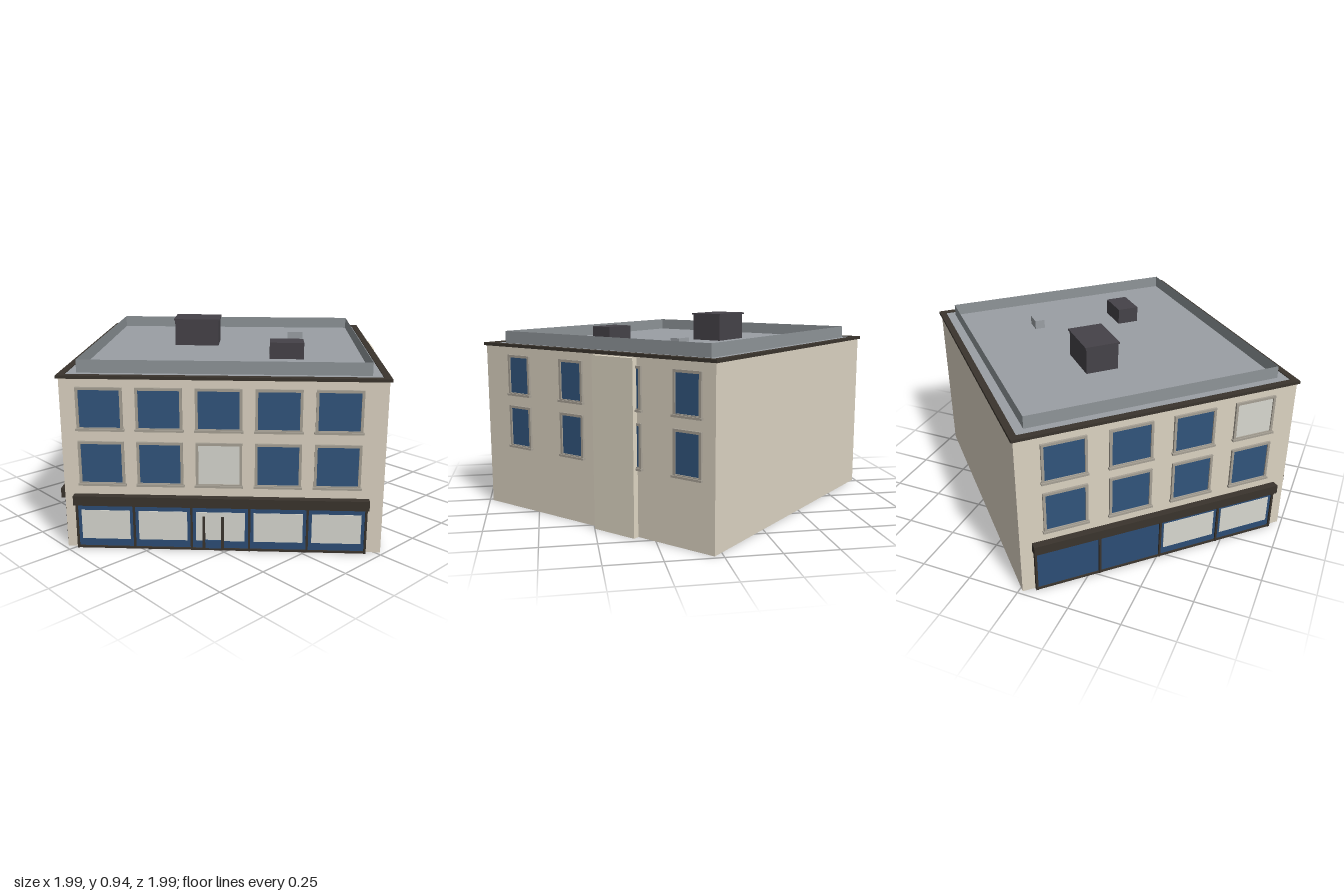
import * as THREE from 'three';

const mat = (color, side = THREE.FrontSide) => new THREE.MeshStandardMaterial({ color, side });
const M = {
  wall: mat(0xdcd3c2), pilaster: mat(0xe0d8c4), trim: mat(0xa8a296), glass: mat(0x31547c),
  blind: mat(0xd8d8d0), shop: mat(0x2c4d76), dark: mat(0x3a342d), roof: mat(0x9a9fa4),
  parapet: mat(0x8e9498, THREE.DoubleSide), unit: mat(0x454248), vent: mat(0x9a9fa4),
};

// half width, half depth and height of the walls
const W = 0.715, D = 0.675, H = 0.8;

function box(parent, name, material, w, h, d, x, y, z) {
  const m = new THREE.Mesh(new THREE.BoxGeometry(w, h, d), material);
  m.name = name;
  m.position.set(x, y, z);
  parent.add(m);
  return m;
}

function rect(target, w, h) {
  target.moveTo(-w / 2, -h / 2);
  target.lineTo(w / 2, -h / 2);
  target.lineTo(w / 2, h / 2);
  target.lineTo(-w / 2, h / 2);
  target.closePath();
  return target;
}

// rectangular ring extruded along +z
function ringGeometry(w, h, border, depth) {
  const s = rect(new THREE.Shape(), w, h);
  s.holes.push(rect(new THREE.Path(), w - 2 * border, h - 2 * border));
  return new THREE.ExtrudeGeometry(s, { depth, bevelEnabled: false });
}

// group lying on a wall: x runs to the viewer's right, z points outwards
function facade(name, angle, distance) {
  const g = new THREE.Group();
  g.name = name;
  g.rotation.y = angle;
  g.position.set(Math.sin(angle) * distance, 0, Math.cos(angle) * distance);
  return g;
}

function addWindow(parent, x, y, w, h, pale) {
  const g = new THREE.Group();
  g.name = 'window';
  g.position.set(x, y, 0);
  const frame = new THREE.Mesh(ringGeometry(w + 0.02, h + 0.02, 0.012, 0.01), M.trim);
  frame.name = 'windowFrame';
  g.add(frame);
  box(g, 'windowPane', pale ? M.blind : M.glass, w, h, 0.006, 0, 0, 0.001);
  box(g, 'windowSill', M.trim, w + 0.03, 0.01, 0.016, 0, -h / 2 - 0.008, 0.008);
  parent.add(g);
}

// two storeys of windows; isPale(column, row) picks the blinds
function addWindows(parent, columns, w, isPale = () => false) {
  [[0.41, 0.185], [0.662, 0.175]].forEach(([y, h], row) =>
    columns.forEach((x, i) => addWindow(parent, x, y, w, h, isPale(i, row))));
}

// shopfront with a sign board, bays, dividers and pale display panes
function addShopfront(parent, width, bays, isPale) {
  const g = new THREE.Group();
  g.name = 'shopfront';
  const bay = width / bays;
  box(g, 'shopPanel', M.shop, width, 0.215, 0.012, 0, 0.1075, 0.004);
  box(g, 'signBoard', M.dark, width + 0.02, 0.045, 0.035, 0, 0.238, 0.0175);
  box(g, 'shopPlinth', M.dark, width, 0.01, 0.016, 0, 0.005, 0.008);
  for (let i = 0; i <= bays; i++) {
    box(g, 'divider', M.dark, 0.01, 0.215, 0.018, -width / 2 + i * bay, 0.1075, 0.009);
  }
  for (let i = 0; i < bays; i++) {
    if (isPale(i)) box(g, 'displayPane', M.blind, bay - 0.04, 0.14, 0.006, (i + 0.5 - bays / 2) * bay, 0.115, 0.009);
  }
  parent.add(g);
  return g;
}

export function createModel() {
  const model = new THREE.Group();
  model.name = 'building';
  const body = new THREE.Group();
  body.name = 'cornerBuilding';
  body.rotation.y = -Math.PI / 4 - 0.01;
  model.add(body);

  // walls, roof deck and cornice
  box(body, 'walls', M.wall, 2 * W, H, 2 * D, 0, H / 2, 0);
  box(body, 'roofDeck', M.roof, 2 * W - 0.02, 0.007, 2 * D - 0.02, 0, H + 0.0035, 0);
  const cornice = new THREE.Mesh(ringGeometry(2 * W + 0.02, 2 * D + 0.02, 0.032, 0.014), M.dark);
  cornice.name = 'cornice';
  cornice.rotation.x = -Math.PI / 2;
  cornice.position.y = 0.797;
  body.add(cornice);

  // thin upstand around the roof
  const px = 0.65, pz = 0.61;
  for (const s of [-1, 1]) {
    for (const [w, x, z, r] of [[2 * px, 0, s * pz, 0], [2 * pz, s * px, 0, Math.PI / 2]]) {
      const p = new THREE.Mesh(new THREE.PlaneGeometry(w, 0.062), M.parapet);
      p.name = 'parapet';
      p.position.set(x, 0.835, z);
      p.rotation.y = r;
      body.add(p);
    }
  }

  // rooftop units
  box(body, 'largeRoofUnit', M.unit, 0.225, 0.13, 0.16, -0.174, 0.871, -0.115);
  box(body, 'largeRoofUnitLid', M.unit, 0.238, 0.008, 0.172, -0.174, 0.94, -0.115);
  box(body, 'smallRoofUnit', M.unit, 0.163, 0.08, 0.108, 0.285, 0.846, 0.23);
  box(body, 'roofVent', M.vent, 0.08, 0.045, 0.05, 0.341, 0.829, -0.233);

  // main front: five bays with a central shop door
  const front = facade('shopFacade', 0, D);
  addWindows(front, [-0.54, -0.278, -0.016, 0.246, 0.508], 0.186, (i, row) => i === 2 && row === 0);
  const shop = addShopfront(front, 1.305, 5, () => true);
  shop.position.x = -0.01;
  for (const x of [-0.075, 0.01]) box(shop, 'doorPost', M.dark, 0.012, 0.16, 0.008, x, 0.085, 0.014);
  box(shop, 'doorPanel', M.shop, 0.075, 0.04, 0.008, -0.033, 0.03, 0.013);

  // side with narrow windows and a pilaster
  const side = facade('sideFacade', Math.PI / 2, W);
  addWindows(side, [-0.445, -0.106, 0.23, 0.54], 0.122);
  box(side, 'pilaster', M.pilaster, 0.23, 0.793, 0.03, 0.16, 0.3965, 0.014);

  // rear shop side: four bays, two of them plain
  const rear = facade('rearShopFacade', -Math.PI / 2, W);
  addWindows(rear, [-0.46, -0.153, 0.153, 0.46], 0.186, (i, row) => i === 3 && row === 1);
  addShopfront(rear, 1.22, 4, (i) => i > 1);

  body.add(front, side, rear);
  return model;
}
